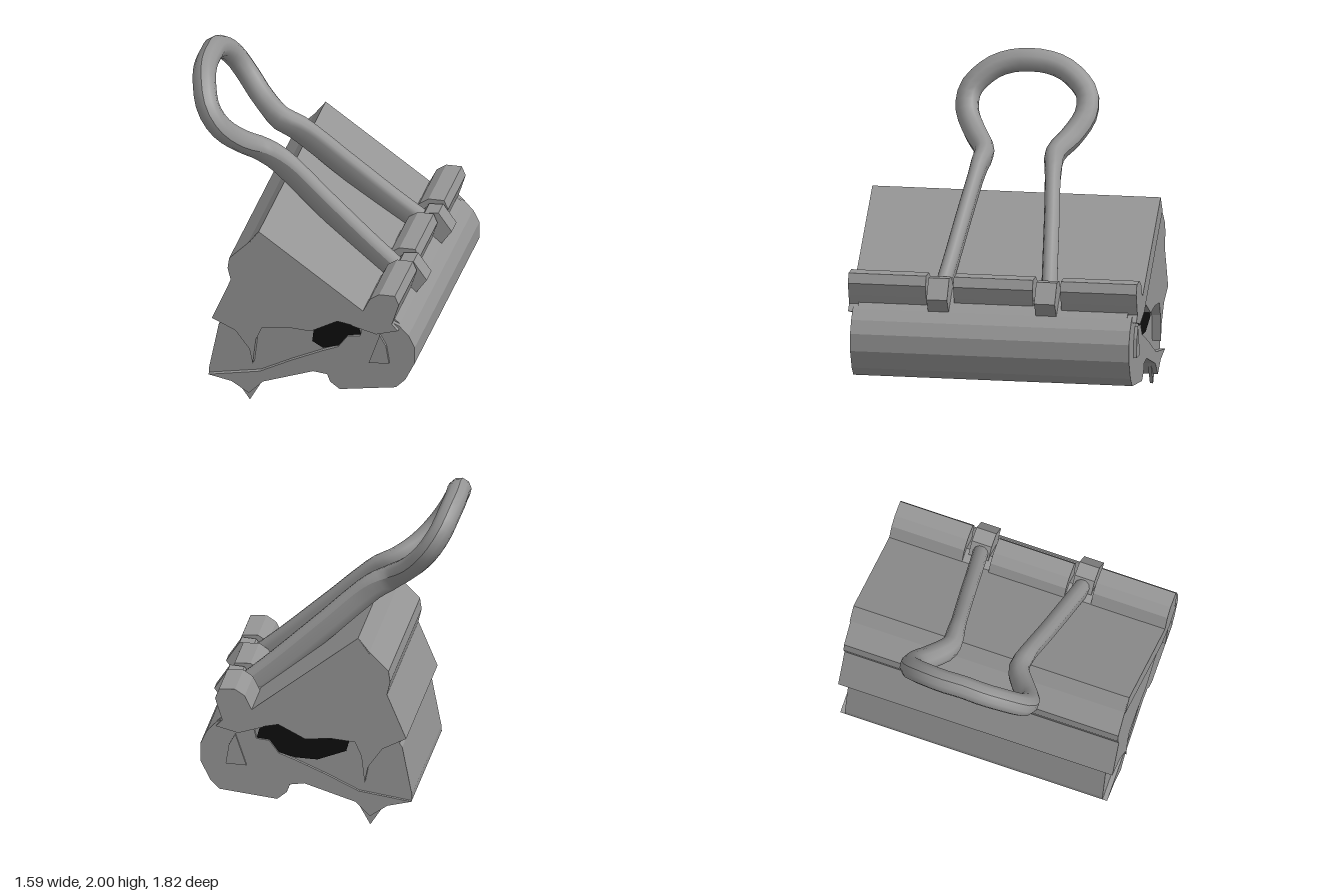
import * as THREE from 'three';

const steel = new THREE.MeshStandardMaterial({ color: 0x959595 });
steel.name = 'grey steel';
const dark = new THREE.MeshStandardMaterial({ color: 0x0e0e0e });
dark.name = 'dark cavity';

const toShape = pts => new THREE.Shape(pts.map(p => new THREE.Vector2(...p)));

export function createModel() {
  const model = new THREE.Group();
  model.name = 'binderClip';

  const add = (name, geometry, material = steel) => {
    const mesh = new THREE.Mesh(geometry, material);
    mesh.name = name;
    model.add(mesh);
    return mesh;
  };
  // Side profile swept along z between two depths
  const slab = (name, shape, z0, z1, material) => {
    const g = new THREE.ExtrudeGeometry(shape, { depth: z1 - z0, bevelEnabled: false });
    g.translate(0, 0, z0);
    return add(name, g, material);
  };

  // Outlines shared by the core and the end flaps
  const backUpper = [[-0.2, 1.21], [-0.27, 1.12], [-0.39, 1.0], [-0.4, 0.93], [-0.38, 0.85], [-0.5, 0.57]];
  const spine = [[0.14, 0.26], [0.23, 0.25], [0.25, 0.2], [0.31, 0.155], [0.67, 0.21], [0.73, 0.27],
    [0.79, 0.39], [0.79, 0.5], [0.75, 0.58], [0.69, 0.64]];

  // Core of the sprung body
  const core = toShape([...backUpper, [-0.45, 0.53], [-0.47, 0.5], [-0.53, 0.2], [-0.53, 0.16],
    [-0.38, 0.13], [-0.27, 0.06], [-0.18, 0.15], ...spine, [0.55, 0.76], [0.46, 0.73]]);
  slab('body', core, -0.85, 0.85);

  // Dark openings between the jaws, longer at the back end
  const mouth = [[0.29, 0.64], [0.42, 0.61], [0.44, 0.54], [0.36, 0.53], [0.3, 0.45], [0.2, 0.42]];
  slab('cavity', toShape([...mouth, [0.13, 0.46], [0.14, 0.54]]), 0.851, 0.86, dark);
  slab('cavity', toShape([...mouth, [0.06, 0.41], [-0.12, 0.47], [-0.14, 0.54], [0.13, 0.55]]),
    -0.86, -0.851, dark);

  // End flaps of the upper and lower jaws
  const upper = toShape([...backUpper, [-0.35, 0.5], [-0.26, 0.38], [-0.24, 0.28], [-0.22, 0.45],
    [-0.18, 0.54], [-0.02, 0.56], [0.13, 0.55], [0.3, 0.64], [0.42, 0.62], [0.5, 0.7], [0.46, 0.73]]);
  const lower = toShape([[-0.53, 0.16], [-0.38, 0.13], [-0.27, 0.06], [-0.18, 0.15], ...spine, [0.55, 0.7],
    [0.46, 0.62], [0.44, 0.54], [0.36, 0.53], [0.3, 0.45], [0.2, 0.41], [0, 0.32], [-0.2, 0.22]]);
  const crimp = toShape([[0.5, 0.37], [0.63, 0.38], [0.61, 0.5], [0.57, 0.57]]);
  const spike = toShape([[-0.36, 0.13], [-0.27, 0], [-0.19, 0.14]]);
  for (const s of [-1, 1]) {
    const span = (a, b) => s > 0 ? [a, b] : [-b, -a];
    slab('upperJawEnd', upper, ...span(0.84, 0.905));
    slab('lowerJawEnd', lower, ...span(0.84, 0.88));
    slab('crimp', crimp, ...span(0.87, 0.9));
    slab('cornerSpike', spike, ...span(0.83, 0.85));
  }

  // Raised lip along the upper jaw plate
  const lip = toShape([[-0.2, 1.21], [-0.27, 1.11], [0.4, 0.62], [0.47, 0.73]]);
  slab('upperPlate', lip, -0.91, 0.91);

  // Rolled hinge in three lengths
  const roll = toShape([[0.4, 0.62], [0.47, 0.74], [0.51, 0.82], [0.57, 0.86], [0.67, 0.86], [0.695, 0.8],
    [0.67, 0.72], [0.65, 0.66], [0.69, 0.62], [0.55, 0.58]]);
  slab('hingeRoll', roll, 0.42, 0.91);
  slab('hingeRoll', roll, -0.91, -0.43);
  slab('hingeRoll', roll, -0.25, 0.25).position.set(-0.025, -0.005, 0);

  // Wire handle: half path mirrored across z
  const half = [[0.62, 0.73, 0.345], [0.4, 0.9, 0.315], [0.1, 1.15, 0.275], [-0.18, 1.38, 0.235],
    [-0.32, 1.44, 0.225], [-0.45, 1.51, 0.3], [-0.57, 1.63, 0.375], [-0.65, 1.75, 0.365],
    [-0.705, 1.87, 0.24], [-0.725, 1.915, 0.12]];
  const path = new THREE.CatmullRomCurve3([
    ...half.map(p => new THREE.Vector3(...p)),
    new THREE.Vector3(-0.725, 1.927, 0),
    ...half.slice().reverse().map(([x, y, z]) => new THREE.Vector3(x, y, -z)),
  ], false, 'centripetal');
  const segs = 72, sides = 10;
  const wire = new THREE.TubeGeometry(path, segs, 0.073, sides);
  const pos = wire.attributes.position;
  const normal = new THREE.Vector3(0.63, 0.777, 0), v = new THREE.Vector3();
  for (let i = 0; i <= segs; i++) {
    const c = path.getPointAt(i / segs);
    const t = THREE.MathUtils.smoothstep(c.y, 1.32, 1.52);
    for (let j = 0; j <= sides; j++) {
      const k = i * (sides + 1) + j;
      // Thinner legs, deepened on the side that meets the plate
      v.fromBufferAttribute(pos, k).sub(c).multiplyScalar(0.67 + 0.33 * t);
      const d = v.dot(normal);
      if (d < 0) v.addScaledVector(normal, d * 1.6 * (1 - t));
      v.add(c);
      pos.setXYZ(k, v.x, v.y, v.z);
    }
  }
  wire.computeVertexNormals();
  add('wireHandle', wire);

  // Wire ends hooked into the hinge
  const knot = toShape([[0.5, 0.6], [0.52, 0.76], [0.58, 0.84], [0.67, 0.85], [0.755, 0.73], [0.69, 0.64]]);
  slab('wireEnd', knot, 0.275, 0.405);
  slab('wireEnd', knot, -0.405, -0.275);

  return model;
}
